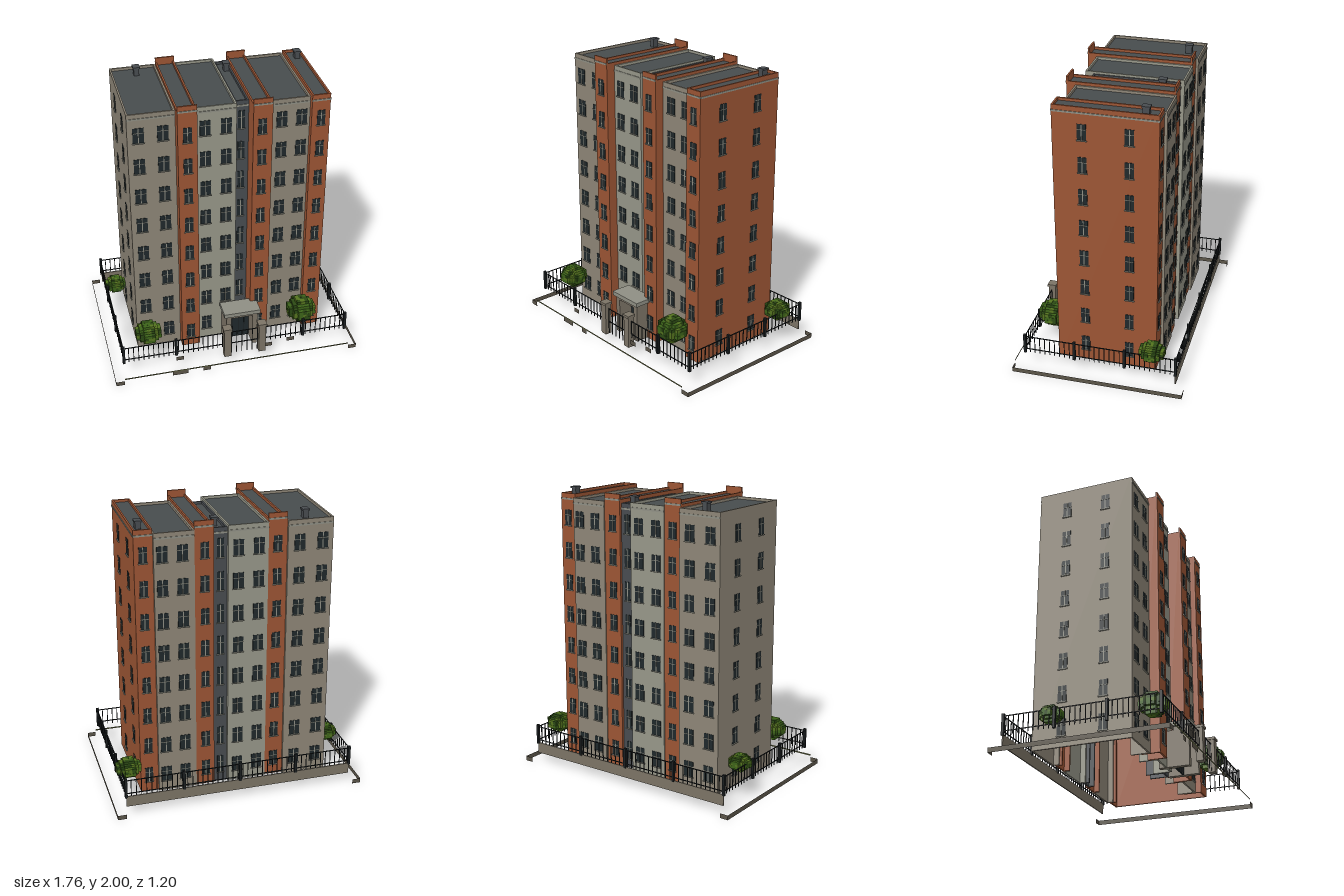
import * as THREE from 'three';
import { mergeGeometries } from 'three/addons/utils/BufferGeometryUtils.js';

const mat = (color, side = THREE.FrontSide) =>
  new THREE.MeshStandardMaterial({ color, side, flatShading: true });
const M = {
  tan: mat(0x8e8677), pale: mat(0x979789), brick: mat(0x9c5534), slate: mat(0x484c50),
  roof: mat(0x474c4e), glass: mat(0x1f282b), trim: mat(0x8f8f84), stone: mat(0x7c7466),
  iron: mat(0x1a1e20), kerb: mat(0x5a5448, THREE.DoubleSide), grass: mat(0x5c5f3c, THREE.DoubleSide),
  leafA: mat(0x2c4a14), leafB: mat(0x3d6419), leafC: mat(0x55741f),
};
const BASE = 0.055;

// Box given by its limits
function box(x0, x1, y0, y1, z0, z1) {
  return new THREE.BoxGeometry(x1 - x0, y1 - y0, z1 - z0)
    .translate((x0 + x1) / 2, (y0 + y1) / 2, (z0 + z1) / 2);
}
function addPart(parent, name, material, geometries) {
  const mesh = new THREE.Mesh(mergeGeometries(geometries), material);
  mesh.name = name;
  parent.add(mesh);
}

// Sections from left of the front to right: limits, top, end parapet rise, windows
const SECTIONS = [
  { x: [-0.67, -0.355], z: [-0.405, 0.28], top: 1.945, m: 'tan', win: [-0.597, -0.437], w: 0.074 },
  { x: [-0.355, -0.225], z: [-0.388, 0.347], top: 1.965, rise: 0.035, m: 'brick', win: [-0.29], w: 0.058 },
  { x: [-0.225, 0.05], z: [-0.395, 0.282], top: 1.945, m: 'pale', win: [-0.16, -0.02], w: 0.072 },
  { x: [0.05, 0.145], z: [-0.37, 0.225], top: 1.93, m: 'slate', win: [0.096], w: 0.046, h: 0.13 },
  { x: [0.145, 0.275], z: [-0.388, 0.345], top: 1.955, rise: 0.035, m: 'brick', win: [0.206], w: 0.058 },
  { x: [0.275, 0.545], z: [-0.395, 0.282], top: 1.935, m: 'tan', win: [0.355, 0.49], w: 0.072 },
  { x: [0.545, 0.67], z: [-0.376, 0.322], top: 1.96, m: 'brick', win: [0.61], w: 0.055 },
];

function section(s, i) {
  const g = new THREE.Group();
  g.name = 'section' + (i + 1);
  const [x0, x1] = s.x, [z0, z1] = s.z, t = 0.012, top = s.top, end = top + (s.rise || 0);
  // Hollow shell: front and back walls, side returns and parapet
  const walls = [box(x0, x1, BASE, end, z1 - t, z1), box(x0, x1, BASE, end, z0, z0 + t)];
  for (const [a, b, full] of [[x0, x0 + t, i === 0], [x1 - t, x1, i === 6]]) {
    if (full) walls.push(box(a, b, BASE, top, z0 + t, z1 - t));
    else walls.push(
      box(a, b, BASE, top, z1 - 0.13, z1 - t),
      box(a, b, BASE, top, z0 + t, z0 + 0.05),
      box(a, b, top - 0.1, top, z0 + 0.05, z1 - 0.13));
  }
  addPart(g, 'walls', M[s.m], walls);
  addPart(g, 'roof', M.roof, [box(x0 + t, x1 - t, top - 0.03, top - 0.018, z0 + t, z1 - t)]);
  // Band under the parapet
  const p = 0.004, y = s.m === 'brick' ? end - 0.045 : top - 0.042;
  const band = [box(x0, x1, y, y + 0.012, z1, z1 + p), box(x0, x1, y, y + 0.012, z0 - p, z0)];
  if (i === 6) band.push(box(x1, x1 + p, y, y + 0.012, z0, z1));
  addPart(g, 'band', M.trim, band);
  return g;
}

// Window facing +z around the origin: pane, mullion, transom, sill
function windowParts(w, h) {
  const a = w / 2, b = h / 2;
  return {
    glass: [box(-a, a, -b, b, -0.002, 0.003)],
    frame: [
      box(-0.003, 0.003, -b, b, 0, 0.005), box(-a, a, 0.016, 0.02, 0, 0.005),
      box(-a - 0.004, a + 0.004, -b - 0.007, -b, 0, 0.009),
    ],
  };
}

function windows() {
  const g = new THREE.Group();
  g.name = 'windows';
  const glass = [], frame = [];
  const place = (x, y, z, turn, w, h) => {
    const parts = windowParts(w, h);
    for (const [list, out] of [[parts.glass, glass], [parts.frame, frame]])
      for (const q of list) out.push(q.rotateY(turn).translate(x, y, z));
  };
  for (let f = 0; f < 8; f++) {
    const y = 0.185 + f * 0.2295;
    for (const s of SECTIONS) for (const x of s.win) {
      const atDoor = f === 0 && x > -0.1 && x < 0.15;
      if (!atDoor) place(x, y, s.z[1], 0, s.w, s.h || 0.108);
      place(x, y, s.z[0], Math.PI, s.w, s.h || 0.108);
    }
    for (const z of [0.125, -0.185]) place(0.67, y, z, Math.PI / 2, 0.06, 0.11);
    for (const z of [0.085, -0.2]) place(-0.67, y, z, -Math.PI / 2, 0.06, 0.11);
  }
  addPart(g, 'panes', M.glass, glass);
  addPart(g, 'frames', M.trim, frame);
  return g;
}

function entrance() {
  const g = new THREE.Group();
  g.name = 'entrance';
  addPart(g, 'canopy', M.trim, [box(-0.07, 0.193, 0.335, 0.365, 0.31, 0.457)]);
  const stone = [box(-0.05, 0.175, 0.31, 0.335, 0.32, 0.44)];
  for (const x of [-0.05, 0.14]) stone.push(box(x, x + 0.035, BASE, 0.31, 0.225, 0.44));
  addPart(g, 'porch', M.stone, stone);
  addPart(g, 'door', M.glass, [box(-0.015, 0.14, BASE, 0.31, 0.325, 0.335)]);
  const bars = [];
  for (const x of [0.02, 0.0625, 0.105]) bars.push(box(x - 0.002, x + 0.002, BASE, 0.31, 0.335, 0.339));
  addPart(g, 'doorBars', M.iron, bars);
  // Gate posts with caps
  const posts = [];
  for (const x of [-0.067, 0.186]) posts.push(
    box(x - 0.025, x + 0.025, 0.06, 0.288, 0.497, 0.547),
    box(x - 0.031, x + 0.031, 0.288, 0.306, 0.491, 0.553));
  addPart(g, 'gatePosts', M.stone, posts);
  return g;
}

// Straight run of railings between two ground points
function railing(out, ax, az, bx, bz, bottom = 0.135) {
  const n = Math.round(Math.hypot(bx - ax, bz - az) / 0.036), r = 0.0025;
  for (let k = 0; k <= n; k++) {
    const x = ax + (bx - ax) * k / n, z = az + (bz - az) * k / n;
    out.push(box(x - r, x + r, bottom, 0.262, z - r, z + r));
  }
  for (const y of [0.16, 0.26])
    out.push(box(Math.min(ax, bx) - r, Math.max(ax, bx) + r, y - 0.003, y + 0.003,
      Math.min(az, bz) - r, Math.max(az, bz) + r));
}

function fence() {
  const g = new THREE.Group();
  g.name = 'fence';
  const X = 0.808, F = 0.523, B = -0.54, iron = [];
  railing(iron, -X, B, X, B);
  railing(iron, -X, B, -X, F);
  railing(iron, X, B, X, F);
  railing(iron, -X, F, -0.1, F);
  railing(iron, 0.217, F, X, F);
  railing(iron, -0.035, F, 0.155, F, 0.07);
  const posts = [[-0.405, B], [0, B], [0.402, B], [-0.435, F], [0.493, F]];
  for (const x of [-X, X]) for (const z of [B, -0.185, 0.169, F]) posts.push([x, z]);
  for (const [x, z] of posts) iron.push(box(x - 0.009, x + 0.009, 0.13, 0.275, z - 0.009, z + 0.009));
  addPart(g, 'railings', M.iron, iron);
  addPart(g, 'backWall', M.stone, [box(-X, X, 0.06, 0.138, B - 0.004, B + 0.004)]);
  return g;
}

// Upright edges of the plot and scattered kerb stones
function plotEdges() {
  const g = new THREE.Group();
  g.name = 'plotEdges';
  const side = [];
  for (const x of [-0.88, 0.88])
    side.push(new THREE.PlaneGeometry(1.2, 0.033).rotateY(Math.PI / 2).translate(x, 0.0165, 0));
  for (const x of [-0.85, 0.85]) for (const z of [-0.6, 0.6])
    side.push(new THREE.PlaneGeometry(0.06, 0.033).translate(x, 0.0165, z));
  addPart(g, 'sideKerbs', M.kerb, side);
  addPart(g, 'lawnEdge', M.grass, [new THREE.PlaneGeometry(1.64, 0.011).translate(0, 0.05, 0.6)]);
  const stones = [[-0.45, 0.03], [-0.395, 0.03], [-0.23, 0.03], [-0.41, 0.1], [0.235, 0.1], [0.4, 0.12]]
    .map(([x, y]) => new THREE.PlaneGeometry(0.055, 0.032).translate(x, y, y > 0.05 ? 0.53 : 0.6));
  addPart(g, 'kerbStones', M.kerb, stones);
  return g;
}

// Blocky bush: cubes filling the surface of an ellipsoid
function bush(x, y, z, r, ry, seed) {
  const g = new THREE.Group();
  g.name = 'bush';
  const rand = () => (seed = (seed * 16807) % 2147483647) / 2147483647;
  const leaves = [[], [], []], n = 3, d = r / (n + 0.5), e = ry / (n + 0.5);
  for (let i = -n; i <= n; i++) for (let j = -n; j <= n; j++) for (let k = -n; k <= n; k++) {
    const q = Math.hypot(i, j, k);
    if (q > 3.45 || q < 1.8) continue;
    const s = 0.5 + rand() * 0.12;
    leaves[Math.floor(rand() * 3)].push(
      box(i * d - d * s, i * d + d * s, j * e - e * s, j * e + e * s, k * d - d * s, k * d + d * s));
  }
  leaves.forEach((l, c) => addPart(g, 'leaves', [M.leafA, M.leafB, M.leafC][c], l));
  g.position.set(x, y, z);
  return g;
}

export function createModel() {
  const model = new THREE.Group();
  model.name = 'apartmentBlock';
  SECTIONS.forEach((s, i) => model.add(section(s, i)));
  model.add(windows(), entrance(), fence(), plotEdges());
  // Roof vents
  const vents = [];
  for (const [x, z, y] of [[-0.5, -0.31, 1.99], [0.112, -0.265, 1.973], [0.62, -0.28, 1.998]]) vents.push(
    box(x - 0.018, x + 0.018, y - 0.09, y - 0.012, z - 0.022, z + 0.022),
    box(x - 0.024, x + 0.024, y - 0.012, y, z - 0.028, z + 0.028));
  addPart(model, 'roofVents', M.slate, vents);
  // Bushes in the plot corners
  model.add(bush(-0.74, 0.25, -0.24, 0.073, 0.055, 11), bush(-0.61, 0.275, 0.4, 0.088, 0.072, 23),
    bush(0.51, 0.285, 0.405, 0.096, 0.084, 37), bush(0.753, 0.26, -0.365, 0.084, 0.062, 51));
  return model;
}
